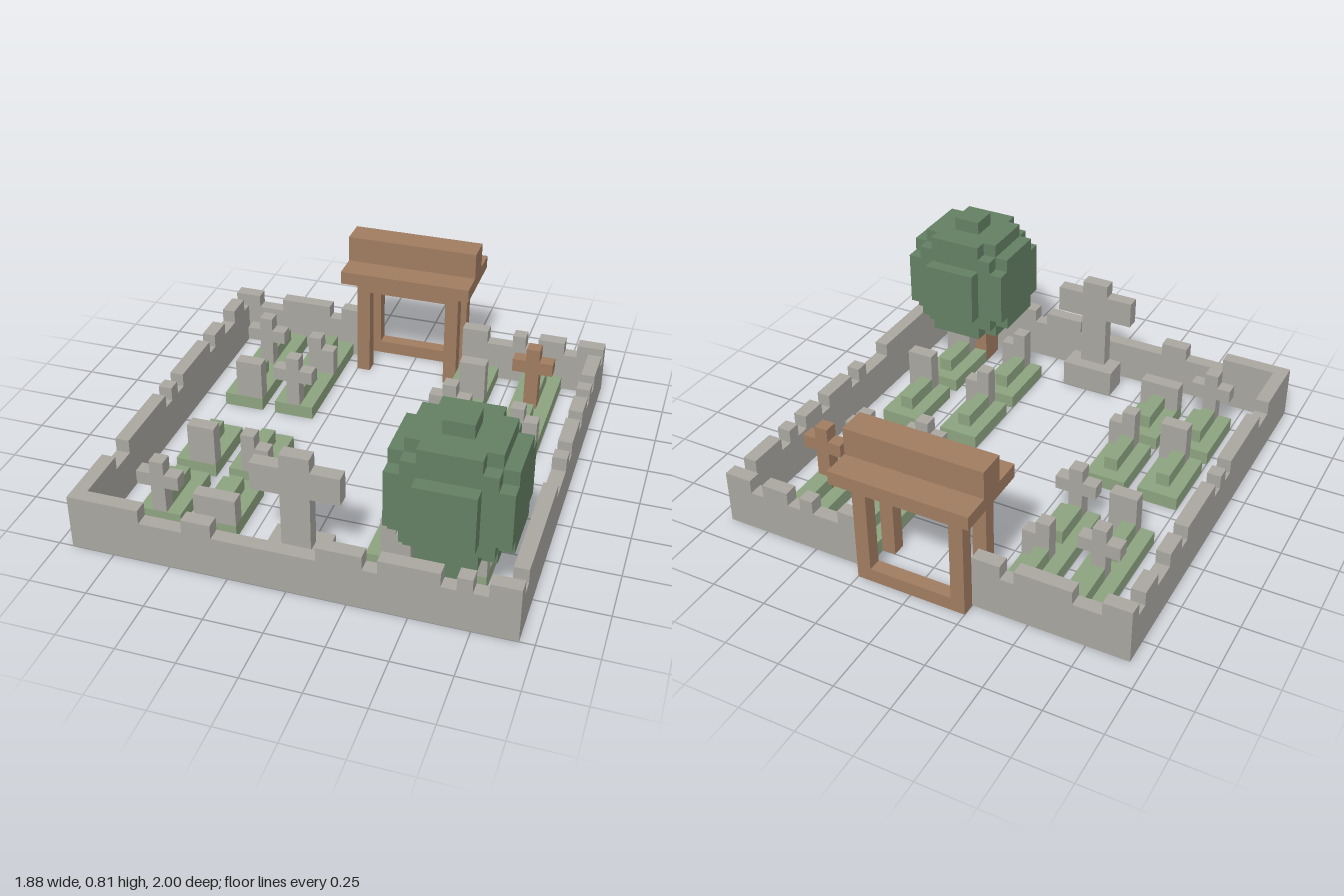
import * as THREE from 'three';

const U = 1 / 16; // size of one block
const mat = (name, color) => {
  const m = new THREE.MeshStandardMaterial({ color });
  m.name = name;
  return m;
};

export function createModel() {
  const model = new THREE.Group();
  model.name = 'graveyard';
  const stone = mat('stone grey', 0xa9a7a0);
  const wood = mat('wood brown', 0xa07c61);
  const moss = mat('grave green', 0x8da380);
  const leaf = mat('leaf green', 0x648064);

  const group = (name, parent = model) => {
    const g = new THREE.Group();
    g.name = name;
    parent.add(g);
    return g;
  };
  // Box given by its block ranges on each axis
  const box = (parent, name, material, [x0, x1], [y0, y1], [z0, z1]) => {
    const geo = new THREE.BoxGeometry((x1 - x0) * U, (y1 - y0) * U, (z1 - z0) * U);
    geo.translate((x0 + x1) / 2 * U, (y0 + y1) / 2 * U, (z0 + z1) / 2 * U);
    const mesh = new THREE.Mesh(geo, material);
    mesh.name = name;
    parent.add(mesh);
  };

  // Walls: three blocks high, with a fourth course broken by gaps
  const wall = (name, from, to, gaps, place) => {
    const g = group(name);
    place(g, 'wallBase', [from, to], [0, 3]);
    let start = from;
    for (const [a, b] of [...gaps, [to, to]]) {
      if (a > start) place(g, 'wallTop', [start, a], [3, 4]);
      start = b;
    }
  };
  const alongX = z => (g, n, r, y) => box(g, n, stone, r, y, [z, z + 1]);
  const alongZ = x => (g, n, r, y) => box(g, n, stone, [x, x + 1], y, r);
  wall('frontWall', -15, 15, [[-10, -7], [-5, 2], [5, 6], [10, 11], [12, 13]], alongX(15));
  wall('backWallRight', -15, -4, [[-13, -11], [-7, -6]], alongX(-14));
  wall('backWallLeft', 4, 15, [[6, 8], [9, 10], [12, 13]], alongX(-14));
  wall('leftWall', -13, 15,
    [[-13, -12], [-9, -8], [-7, -6], [-4, -3], [0, 1], [2, 5], [14, 15]], alongZ(14));
  wall('rightWall', -13, 15,
    [[-13, -12], [-10, -8], [-6, -5], [0, 1], [2, 3], [9, 11]], alongZ(-15));

  // Headstones, standing at the foot of each grave
  const cross = (g, x, z, material, arm, top) => {
    box(g, 'crossShaft', material, [x + 1, x + 2], [1, top], [z, z + 1]);
    for (const i of [0, 2]) box(g, 'crossArm', material, [x + i, x + i + 1], [arm, arm + 1], [z, z + 1]);
  };
  const headstones = {
    cross: (g, x, z) => cross(g, x, z, stone, 3, 5),
    woodCross: (g, x, z) => cross(g, x, z, wood, 4, 6),
    slab: (g, x, z) => box(g, 'slab', stone, [x, x + 3], [1, 3], [z, z + 1]),
    broken: (g, x, z) => {
      box(g, 'brokenStone', stone, [x + 1, x + 2], [1, 4], [z, z + 1]);
      box(g, 'brokenStoneSide', stone, [x + 2, x + 3], [1, 3], [z, z + 1]);
    },
    tall: (g, x, z) => box(g, 'tallStone', stone, [x + 1, x + 3], [1, 4], [z, z + 1]),
  };
  const columns = [-12, -8, 4, 9];
  const rows = [
    [-13, 'cross', 'broken', 'tall', 'woodCross'],
    [-8, 'tall', 'cross', 'cross', 'broken'],
    [1, 'tall', 'broken', 'broken', 'tall'],
    [7, 'cross', 'slab', 'broken', 'tall'],
  ];
  for (const [z, ...kinds] of rows) {
    kinds.forEach((kind, i) => {
      const x = columns[i];
      const g = group('grave');
      // Low rim around an open bottom, with a raised mound over it
      for (const dx of [0, 2]) box(g, 'graveSide', moss, [x + dx, x + dx + 1], [0, 1], [z, z + 5]);
      for (const dz of [0, 4]) box(g, 'graveEnd', moss, [x + 1, x + 2], [0, 1], [z + dz, z + dz + 1]);
      box(g, 'graveMound', moss, [x + 1, x + 2], [1, 2], [z + 1, z + 4]);
      headstones[kind](g, x, z + 4);
    });
  }

  // Large cross on a plinth
  const monument = group('monument');
  box(monument, 'plinth', stone, [-2, 2], [0, 2], [12, 14]);
  box(monument, 'shaft', stone, [-1, 1], [2, 9], [13, 14]);
  for (const x of [-3, 1]) box(monument, 'arm', stone, [x, x + 2], [6, 8], [13, 14]);

  // Roofed gate
  const gate = group('gate');
  for (const z of [-15, -12]) {
    for (const x of [-4, 3]) box(gate, 'gatePost', wood, [x, x + 1], [0, 8], [z, z + 1]);
    box(gate, 'lintel', wood, [-3, 3], [7, 8], [z, z + 1]);
  }
  box(gate, 'sill', wood, [-3, 3], [0, 1], [-15, -14]);
  for (const z of [-16, -12]) box(gate, 'roofSide', wood, [-5, 5], [8, 9], [z, z + 2]);
  for (const x of [-5, 4]) box(gate, 'roofEnd', wood, [x, x + 1], [8, 9], [-14, -12]);
  box(gate, 'roofRidge', wood, [-5, 5], [9, 11], [-14, -12]);

  // Tree with a stepped round crown
  const tree = group('tree');
  box(tree, 'trunk', wood, [9, 11], [0, 4], [12, 14]);
  const crown = [
    [[6, 14], [5, 11], [10, 14]],
    [[6, 14], [6, 10], [9, 15]],
    [[7, 13], [5, 11], [9, 15]],
    [[7, 13], [4, 12], [10, 14]],
    [[8, 12], [4, 12], [9, 15]],
    [[8, 12], [6, 10], [8, 16]],
    [[9, 11], [12, 13], [11, 13]],
    [[10, 11], [3, 4], [14, 15]],
  ];
  for (const part of crown) box(tree, 'crown', leaf, ...part);

  return model;
}
